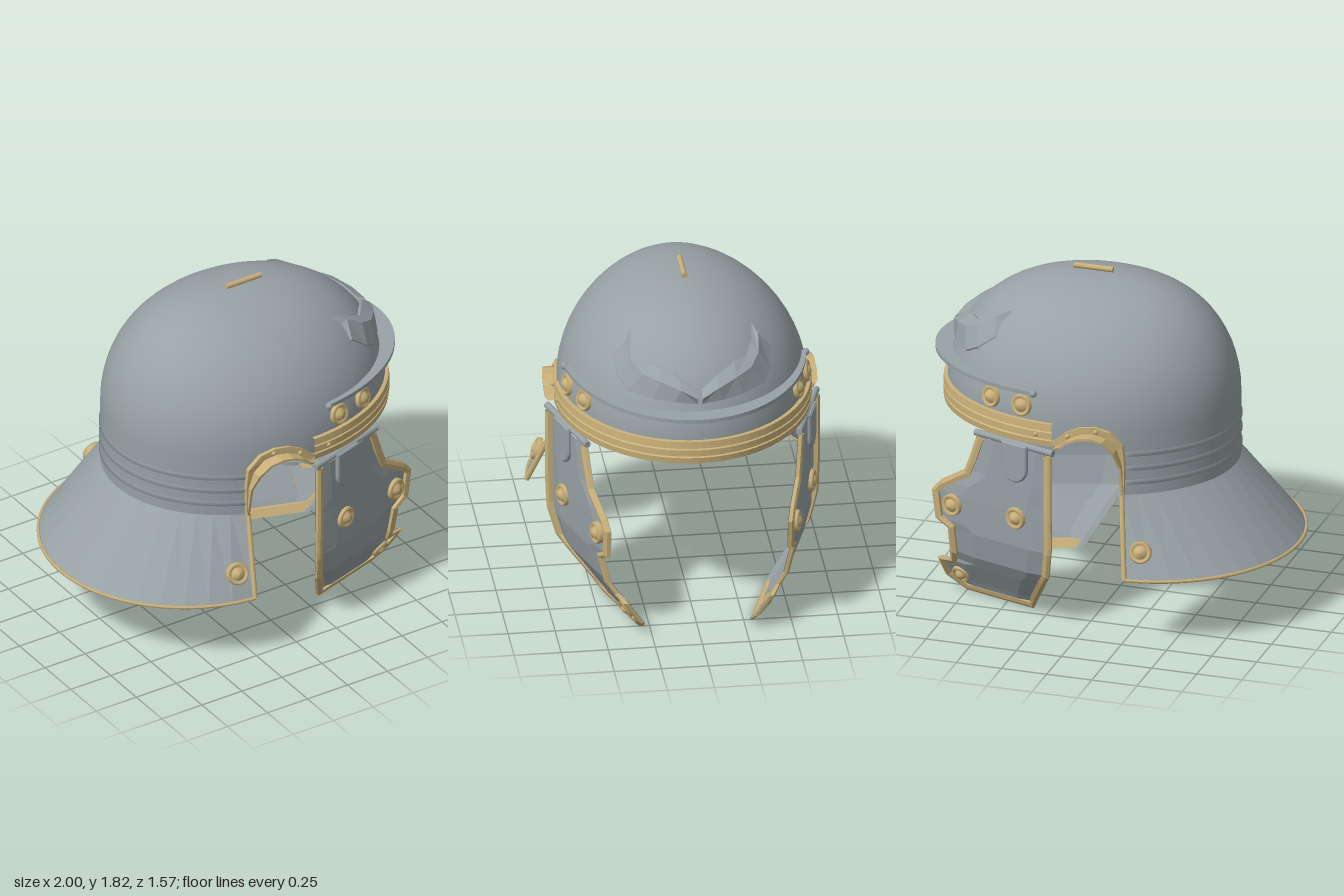
import * as THREE from 'three';

const steel = new THREE.MeshStandardMaterial({ color: 0x98a1a5, side: THREE.DoubleSide });
steel.name = 'steel';
const brass = new THREE.MeshStandardMaterial({ color: 0xc9b07a, side: THREE.DoubleSide });
brass.name = 'brass';

const V = (x, y, z) => new THREE.Vector3(x, y, z);

// Skin a list of rings (arrays of Vector3); flat gives faceted normals
function loft(rings, { closed = false, flat = false } = {}) {
  const n = rings[0].length, idx = [];
  for (let i = 0; i < rings.length - 1; i++)
    for (let j = 0; j < (closed ? n : n - 1); j++) {
      const a = i * n + j, b = i * n + (j + 1) % n;
      idx.push(a, b, a + n, b, b + n, a + n);
    }
  let g = new THREE.BufferGeometry().setFromPoints(rings.flat());
  g.setIndex(idx);
  if (flat) g = g.toNonIndexed();
  g.computeVertexNormals();
  return g;
}

function add(parent, name, geo, mat) {
  const m = new THREE.Mesh(geo, mat);
  m.name = name;
  parent.add(m);
  return m;
}

// Add a part on the +z side and its mirror image on the -z side
function pair(parent, name, geo, mat) {
  const g = geo.index ? geo.toNonIndexed() : geo;
  add(parent, name + 'Left', g, mat);
  const r = g.clone().scale(1, 1, -1);
  for (const key of ['position', 'normal']) {
    const at = r.attributes[key], p = V(0, 0, 0), q = V(0, 0, 0);
    for (let i = 0; i < at.count; i += 3) {
      p.fromBufferAttribute(at, i + 1);
      q.fromBufferAttribute(at, i + 2);
      at.setXYZ(i + 1, q.x, q.y, q.z);
      at.setXYZ(i + 2, p.x, p.y, p.z);
    }
  }
  add(parent, name + 'Right', r, mat);
}

// Point geometry's +y axis along dir and move it to pos
const place = (geo, pos, dir) => geo
  .applyQuaternion(new THREE.Quaternion().setFromUnitVectors(V(0, 1, 0), dir.clone().normalize()))
  .translate(pos.x, pos.y, pos.z);

const rosette = (pos, dir, r = 0.06) => place(new THREE.LatheGeometry(
  [[1, -0.01], [1, 0.012], [0.85, 0.022], [0.7, 0.011], [0.55, 0.011], [0.42, 0.028], [0, 0.034]]
    .map(([k, h]) => new THREE.Vector2(k * r, h)), 18), pos, dir);

// Skull surface: stacked ellipses, upright below y = 1.15
function skull(th, y, off = 0) {
  const t = Math.min(1, Math.max(0, (y - 1.15) / 0.65)), s = Math.sqrt(1 - t * t);
  return V(0.09 + 0.055 * s + (0.785 * s ** 0.8 + off) * Math.cos(th), y, (0.66 * s + off) * Math.sin(th));
}
const angleAt = x => Math.acos((x - 0.145) / 0.785);
const sideZ = x => 0.66 * Math.sin(angleAt(x));
const range = (a, b, n) => Array.from({ length: n + 1 }, (_, i) => a + (b - a) * i / n);

// Ear opening, front to back
const arch = [[0.13, 1.06], [0.1, 1.075], [0.06, 1.11], [0, 1.135], [-0.06, 1.14], [-0.12, 1.12],
  [-0.17, 1.06], [-0.195, 0.97], [-0.2, 0.8]];

function buildSkull(g) {
  const half = [
    ...range(0, angleAt(0.14), 20).map(t => [t, 1.06]),
    ...arch.map(([x, y]) => [angleAt(x), y]),
    ...range(angleAt(-0.2005), Math.PI, 18).map(t => [t, 0.8])];
  const cols = [...half, ...half.slice(0, -1).reverse().map(([t, y]) => [-t, y])];
  add(g, 'skull', loft(cols.map(([t, e]) => [
    ...range(e, 1.15, 3).map(y => skull(t, y)),
    ...range(0, Math.PI / 2, 16).slice(1).map(p => skull(t, 1.15 + 0.65 * Math.sin(p)))])), steel);

  // Ribs round the nape
  const t0 = angleAt(-0.21), back = range(t0, 2 * Math.PI - t0, 32);
  for (const y of [0.86, 0.94, 1.02])
    add(g, 'napeRib', loft(back.map(t => [[-0.01, 0], [0.007, 0], [0, 0.025]]
      .map(([o, h]) => skull(t, y + h, o)))), steel);

  // Crest holder
  add(g, 'crestHolder', new THREE.CylinderGeometry(0.015, 0.015, 0.215, 10)
    .rotateZ(Math.PI / 2).translate(0.148, 1.818, 0), brass);
}

function buildNeckGuard(g) {
  const n = 18, t0 = angleAt(-0.2), p0 = Math.acos(-0.09);
  const top = range(t0, 2 * Math.PI - t0, n).map(t => skull(t, 0.8));
  const low = range(p0, 2 * Math.PI - p0, n).map(p => V(-0.2 + 0.79 * Math.cos(p), 0.393, 0.775 * Math.sin(p)));
  add(g, 'neckGuard', loft(top.map((p, i) => [p, low[i]]), { flat: true }), steel);
  add(g, 'neckGuardRim', new THREE.TubeGeometry(new THREE.CatmullRomCurve3(low), 60, 0.01, 6), brass);
  pair(g, 'neckGuardEdge', new THREE.TubeGeometry(new THREE.LineCurve3(top[0], low[0]), 1, 0.015, 6), brass);
  pair(g, 'neckRosette', rosette(V(-0.34, 0.535, 0.705), V(-0.2, 0.4, 1)), brass);
}

function buildEarGuards(g) {
  pair(g, 'earGuard', loft(arch.map(([x, y], i) => {
    const n = y < 0.9 ? V(-1, 0, 0) : V(x + 0.04, y - 0.98, 0).normalize();
    const z = sideZ(x), d = [0.05, 0.065, 0.07, 0.075, 0.08, 0.08, 0.07, 0.04, 0.015][i];
    const w = y < 0.9 ? 0.015 : y < 1 ? 0.025 : 0.05;
    return [[w, -0.01], [w, 0.014], [0.013, 0.014], [0.013, d], [0, d], [0, -0.01]]
      .map(([k, o]) => V(x + n.x * k, y + n.y * k, z + o));
  }), { closed: true, flat: true }), brass);
  for (const [x, y] of [[-0.075, 1.165], [0.075, 1.13]])
    pair(g, 'earRivet', new THREE.SphereGeometry(0.014, 8, 6).translate(x, y, sideZ(x) + 0.014), brass);
}

function buildBrow(g) {
  // Ribbed brass band
  const t = angleAt(0.16);
  const band = [[-0.01, 1.06], [0.018, 1.062], [0.022, 1.095], [0.012, 1.1], [0.022, 1.105], [0.022, 1.14],
    [0.012, 1.145], [0.022, 1.15], [0.018, 1.188], [-0.01, 1.19]];
  add(g, 'browBand', loft(range(-t, t, 40).map(a => band.map(([o, y]) => {
    const p = skull(a, 1.15, o);
    return p.setY(y);
  })), { closed: true, flat: true }), brass);
  pair(g, 'bandRivet', new THREE.SphereGeometry(0.014, 8, 6).translate(0.25, 1.123, sideZ(0.25) + 0.02), brass);

  // Peak, widest at the front
  const tp = Math.acos((0.28 - 0.14) / 0.86);
  add(g, 'peak', loft(range(-tp, tp, 40).map(a => {
    const inner = skull(a, 1.335, -0.02), x = 0.14 + 0.86 * Math.cos(a), z = 0.652 * Math.sin(a);
    return [V(inner.x, 1.345, inner.z), V(x, 1.345, z), V(x, 1.323, z), V(inner.x, 1.323, inner.z)];
  }), { closed: true, flat: true }), steel);
  pair(g, 'peakEnd', new THREE.SphereGeometry(0.02, 10, 8).translate(0.275, 1.335, 0.64), steel);

  for (const x of [0.345, 0.535]) {
    const a = angleAt(x), p = skull(a, 1.26);
    pair(g, 'browRosette', rosette(p, V(Math.cos(a) / 0.785, 0.2, Math.sin(a) / 0.66)), brass);
  }

  // Embossed eyebrows: [z, y] of upper edge, crest and lower edge from the middle outwards
  const stations = [
    [[0.012, 1.45], [0.012, 1.41], [0.012, 1.382]],
    [[0.1, 1.505], [0.1, 1.45], [0.13, 1.39]],
    [[0.2, 1.545], [0.2, 1.48], [0.24, 1.395]],
    [[0.27, 1.55], [0.29, 1.5], [0.36, 1.405]],
    [[0.305, 1.59], [0.34, 1.54], [0.405, 1.45]],
    [[0.32, 1.645], [0.35, 1.6], [0.417, 1.53]]];
  const onSkull = ([z, y], off) => {
    const s = Math.sqrt(1 - ((y - 1.15) / 0.65) ** 2);
    const a = Math.asin(Math.min(0.99, z / (0.66 * s)));
    return skull(a, y).add(V(Math.cos(a), 0.35, 0).multiplyScalar(off));
  };
  const rows = stations.map(([u, m, l]) => [onSkull(u, -0.02), onSkull(u, 0.02), onSkull(m, 0.05),
    onSkull(l, 0.015), onSkull(l, -0.02)]);
  rows.push(stations[5].flatMap((p, i) => i === 1 ? [p, p, p] : [p]).map(p => onSkull(p, -0.02)));
  pair(g, 'eyebrow', loft(rows, { flat: true }), steel);
}

// Cheek guard surface, curling inwards below y = 0.4 and towards the front
const curl = [[0, 0.46], [0.1, 0.52], [0.2, 0.59], [0.3, 0.655], [0.42, 0.69], [0.6, 0.7], [1.2, 0.7]];
function cheek(x, y, off = 0) {
  const i = Math.max(1, curl.findIndex(c => c[0] >= y));
  const [y0, z0] = curl[i - 1], [y1, z1] = curl[i];
  return V(x, y, z0 + (z1 - z0) * (y - y0) / (y1 - y0) - 0.32 * (x - 0.16) + off);
}

function buildCheekGuards(g) {
  // Rows of [y, rear x, front x]
  const rows = [[1.02, 0.15, 0.61], [0.9, 0.15, 0.65], [0.81, 0.15, 0.685], [0.71, 0.15, 0.835],
    [0.65, 0.15, 0.885], [0.49, 0.15, 0.865], [0.45, 0.155, 0.79], [0.3, 0.18, 0.79], [0.24, 0.215, 0.8],
    [0.22, 0.225, 0.885], [0.09, 0.3, 0.865], [0.015, 0.34, 0.75]];
  const cols = [[0, 0], [0.06, 0], [0.22, 0.02], [0.75, 0.02], [0.94, 0], [1, 0]];
  pair(g, 'cheekGuard', loft(rows.map(([y, l, r]) =>
    cols.map(([k, o]) => cheek(l + (r - l) * k, y, o))), { flat: true }), steel);

  // Raised rim down the rear edge, along the bottom and up the front
  const line = [...rows.map(([y, l]) => [l, y]), ...rows.map(([y, , r]) => [r, y]).reverse()];
  pair(g, 'cheekRim', loft(line.map(([x, y], i) => {
    const a = line[Math.max(0, i - 1)], b = line[Math.min(line.length - 1, i + 1)];
    const d = new THREE.Vector2(b[0] - a[0], b[1] - a[1]).normalize().multiplyScalar(0.042);
    const ix = x - d.y, iy = Math.max(0.02, y + d.x);
    return [cheek(x, y, 0.003), cheek(x, y, 0.022), cheek(x - d.y * 0.4, y + d.x * 0.4, 0.032),
      cheek(ix, iy, 0.026), cheek(ix, iy, 0.003)];
  }), { closed: true, flat: true }), brass);

  pair(g, 'cheekRosette', rosette(cheek(0.365, 0.62, 0.022), V(0.32, 0, 1)), brass);
  pair(g, 'cheekRosette', rosette(cheek(0.76, 0.59, 0.02), V(0.32, 0, 1)), brass);
  pair(g, 'cheekRosette', rosette(cheek(0.76, 0.135, 0.015), V(0.3, -0.5, 0.9), 0.052), brass);

  // Hinge rod and its rounded tongue
  const a = cheek(0.14, 1.04, 0.008), b = cheek(0.62, 1.04, 0.008);
  pair(g, 'hingeRod', place(new THREE.CylinderGeometry(0.018, 0.018, a.distanceTo(b), 10),
    a.clone().lerp(b, 0.5), b.clone().sub(a)), steel);
  const s = new THREE.Shape().moveTo(-0.075, 0.1).lineTo(-0.075, -0.03)
    .absarc(0, -0.03, 0.075, Math.PI, 2 * Math.PI, false).lineTo(0.075, 0.1);
  const c = cheek(0.37, 0.94, 0.02);
  pair(g, 'hingeTongue', new THREE.ExtrudeGeometry(s, { depth: 0.012, bevelSize: 0.008, bevelThickness: 0.008,
    bevelSegments: 1, curveSegments: 8 }).rotateY(Math.atan(0.32)).translate(c.x, c.y, c.z), steel);
}

export function createModel() {
  const model = new THREE.Group();
  model.name = 'helmet';
  const parts = { skullGroup: buildSkull, neckGuardGroup: buildNeckGuard, earGuardGroup: buildEarGuards,
    browGroup: buildBrow, cheekGuardGroup: buildCheekGuards };
  for (const [name, build] of Object.entries(parts)) {
    const g = new THREE.Group();
    g.name = name;
    build(g);
    model.add(g);
  }
  return model;
}
